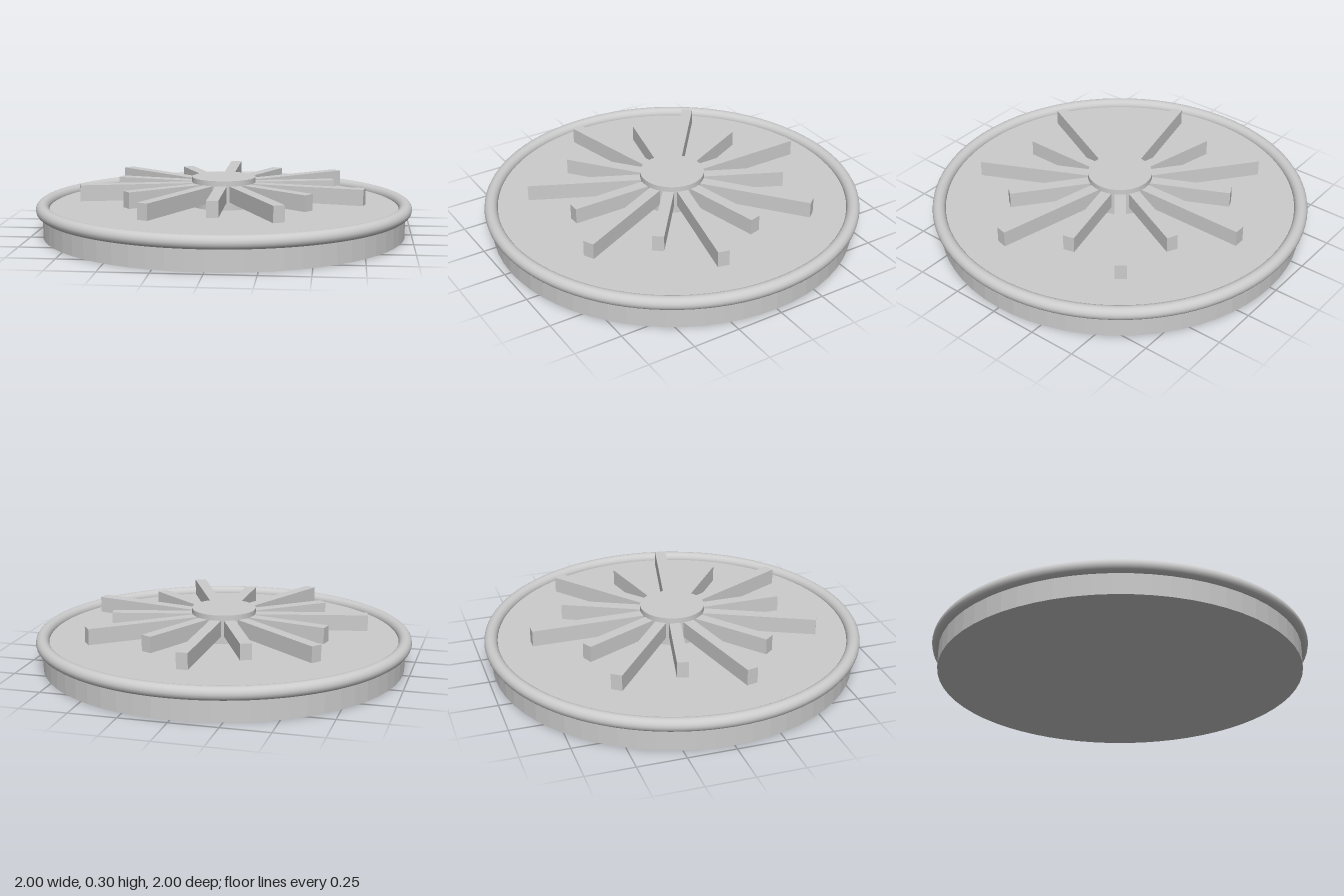
import * as THREE from 'three';

export function createModel() {
  const group = new THREE.Group();
  const smooth = new THREE.MeshStandardMaterial({ color: 0xcccccc });
  const flat = new THREE.MeshStandardMaterial({ color: 0xcccccc, flatShading: true });

  const add = (name, geometry, material, y) => {
    const mesh = new THREE.Mesh(geometry, material);
    mesh.name = name;
    mesh.position.y = y;
    group.add(mesh);
    return mesh;
  };

  // Round base plate
  const baseTop = 0.145;
  add('base', new THREE.CylinderGeometry(0.965, 0.965, baseTop, 64), flat, baseTop / 2);

  // Rounded rim around the top edge of the base
  add('rim', new THREE.TorusGeometry(0.965, 0.035, 16, 96).rotateX(Math.PI / 2), smooth, baseTop);

  // Central hub standing on the base
  const hubRadius = 0.17, hubTop = 0.3;
  add('hub', new THREE.CylinderGeometry(hubRadius, hubRadius, hubTop - baseTop, 48), smooth, (hubTop + baseTop) / 2);

  // Rays alternate long and short, held just above the plate by the hub
  const count = 14, inner = 0.12, bottom = 0.187, top = 0.272;
  for (let i = 0; i < count; i++) {
    const outer = i % 2 === 0 ? 0.765 : 0.595;
    const geometry = new THREE.BoxGeometry(0.06, top - bottom, outer - inner);
    geometry.translate(0, 0, -(outer + inner) / 2);
    const ray = add(i % 2 === 0 ? 'longRay' : 'shortRay', geometry, flat, (top + bottom) / 2);
    ray.rotation.y = (-i * 2 * Math.PI) / count;
  }

  return group;
}
